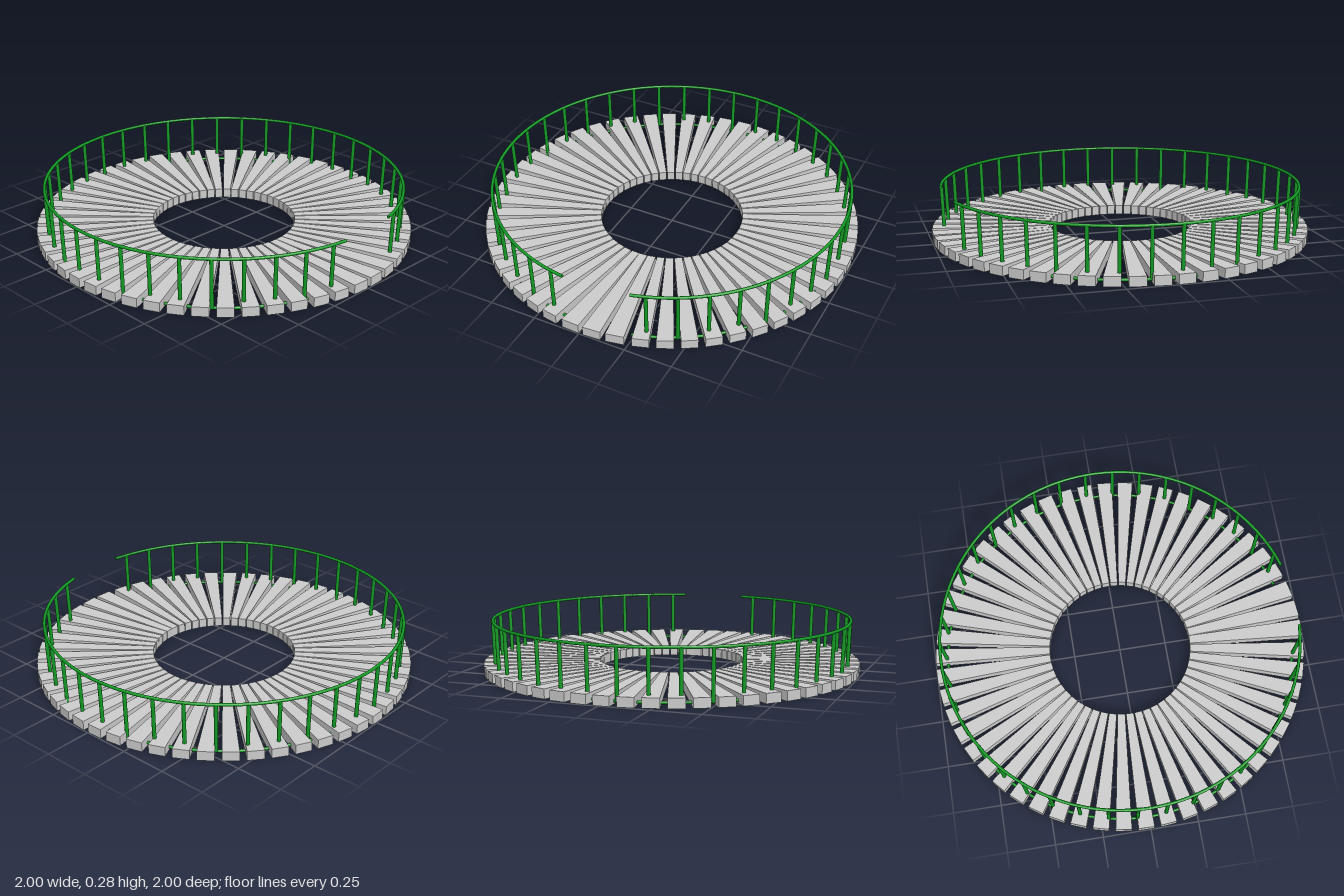
import * as THREE from 'three';

const grey = new THREE.MeshStandardMaterial({ color: 0xcccccc, flatShading: true });
const green = new THREE.MeshStandardMaterial({ color: 0x129a24 });
const rad = THREE.MathUtils.degToRad;

// Angles run from the front (+z) towards +x, in degrees
const ARC_START = 14.7, ARC_END = 353.3;
const DECK_HEIGHT = 0.05;

// Point on a horizontal circle
const polar = (deg, r, y) =>
  new THREE.Vector3(Math.sin(rad(deg)) * r, y, Math.cos(rad(deg)) * r);

// Tapered plank reaching along +z from the inner to the outer edge
function plankGeometry(innerWidth, outerWidth) {
  const inner = 0.38, outer = 0.997;
  const shape = new THREE.Shape([
    new THREE.Vector2(-innerWidth / 2, inner),
    new THREE.Vector2(innerWidth / 2, inner),
    new THREE.Vector2(outerWidth / 2, outer),
    new THREE.Vector2(-outerWidth / 2, outer),
  ]);
  return new THREE.ExtrudeGeometry(shape, { depth: DECK_HEIGHT, bevelEnabled: false })
    .rotateX(Math.PI / 2)
    .translate(0, DECK_HEIGHT, 0);
}

// Capped round bar following the open arc
function railGeometry(radius, y, thickness) {
  const points = [];
  for (let i = 0; i <= 74; i++) {
    points.push(polar(THREE.MathUtils.lerp(ARC_START, ARC_END, i / 74), radius, y));
  }
  const section = new THREE.Shape().absarc(0, 0, thickness, 0, Math.PI * 2);
  return new THREE.ExtrudeGeometry(section, {
    steps: 148,
    curveSegments: 8,
    extrudePath: new THREE.CatmullRomCurve3(points),
  });
}

export function createModel() {
  const model = new THREE.Group();
  const add = (parent, name, geometry, material) => {
    const mesh = new THREE.Mesh(geometry, material);
    mesh.name = name;
    parent.add(mesh);
    return mesh;
  };

  // Ring of deck planks
  const deck = new THREE.Group();
  deck.name = 'deck';
  model.add(deck);
  const plank = plankGeometry(0.04, 0.084);
  const plankCount = 50;
  for (let i = 0; i < plankCount; i++) {
    const angle = ARC_START + (ARC_END - ARC_START) * (i + 0.5) / plankCount;
    add(deck, 'plank', plank, grey).rotation.y = rad(angle);
  }

  // Wider planks in the entrance gap
  const entrancePlank = plankGeometry(0.043, 0.094);
  for (const angle of [-2.8, 3.9, 10.8]) {
    add(deck, 'entrancePlank', entrancePlank, grey).rotation.y = rad(angle);
  }

  // Handrail, and the lower rail threaded through the planks
  const railing = new THREE.Group();
  railing.name = 'railing';
  model.add(railing);
  add(railing, 'handrail', railGeometry(0.945, 0.274, 0.008), green);
  add(railing, 'lowerRail', railGeometry(0.935, 0.015, 0.008), green);

  // Posts leaning slightly outwards
  const postCount = 37;
  const up = new THREE.Vector3(0, 1, 0);
  for (let i = 0; i < postCount; i++) {
    const angle = ARC_START + (ARC_END - ARC_START) * (i + 0.5) / postCount;
    const bottom = polar(angle, 0.935, 0.012);
    const top = polar(angle, 0.945, 0.274);
    const axis = top.clone().sub(bottom);
    const post = add(railing, 'post', new THREE.CylinderGeometry(0.01, 0.01, axis.length(), 10), green);
    post.position.copy(bottom).add(top).multiplyScalar(0.5);
    post.quaternion.setFromUnitVectors(up, axis.normalize());
  }

  return model;
}
